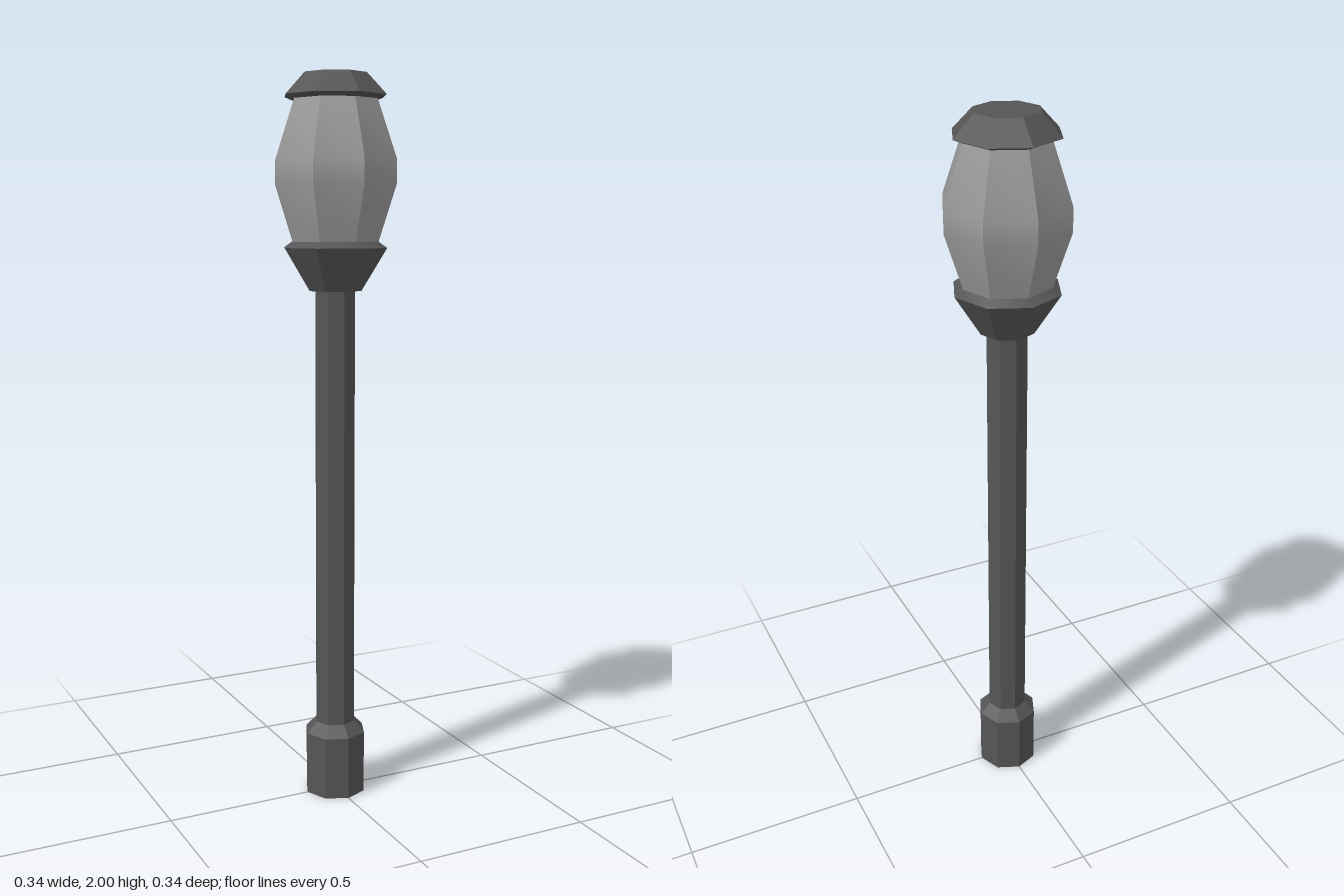
import * as THREE from 'three';
import { toCreasedNormals } from 'three/addons/utils/BufferGeometryUtils.js';

const SIDES = 8;
const CREASE = Math.PI / 6; // octagon corners stay sharp, shallow glass bends stay smooth

// Octagonal turned part from [radius, height] pairs, listed bottom to top
function turned(name, profile, material) {
  const points = profile.map(([r, y]) => new THREE.Vector2(r, y));
  const geometry = toCreasedNormals(new THREE.LatheGeometry(points, SIDES), CREASE);
  const mesh = new THREE.Mesh(geometry, material);
  mesh.name = name;
  return mesh;
}

export function createModel() {
  const metal = new THREE.MeshStandardMaterial({ color: 0x555555 });
  const glass = new THREE.MeshStandardMaterial({ color: 0x999999 });
  const group = new THREE.Group();
  group.name = 'streetLamp';

  group.add(
    // Foot with a chamfered top
    turned('base', [[0, 0], [0.087, 0], [0.087, 0.177], [0.058, 0.208], [0, 0.208]], metal),
    // Slim pole running up into the holder
    turned('pole', [[0.057, 0.2], [0.057, 1.44]], metal),
    // Flared cup holding the glass
    turned('lampHolder', [[0, 1.43], [0.075, 1.43], [0.147, 1.545], [0.122, 1.562], [0, 1.562]], metal),
    // Barrel-shaped glass
    turned('lampGlass', [[0.119, 1.55], [0.172, 1.712], [0.172, 1.777], [0.115, 1.942]], glass),
    // Sloped cap with a flat top
    turned('cap', [[0, 1.932], [0.118, 1.932], [0.143, 1.942], [0.088, 2], [0, 2]], metal),
  );
  return group;
}
